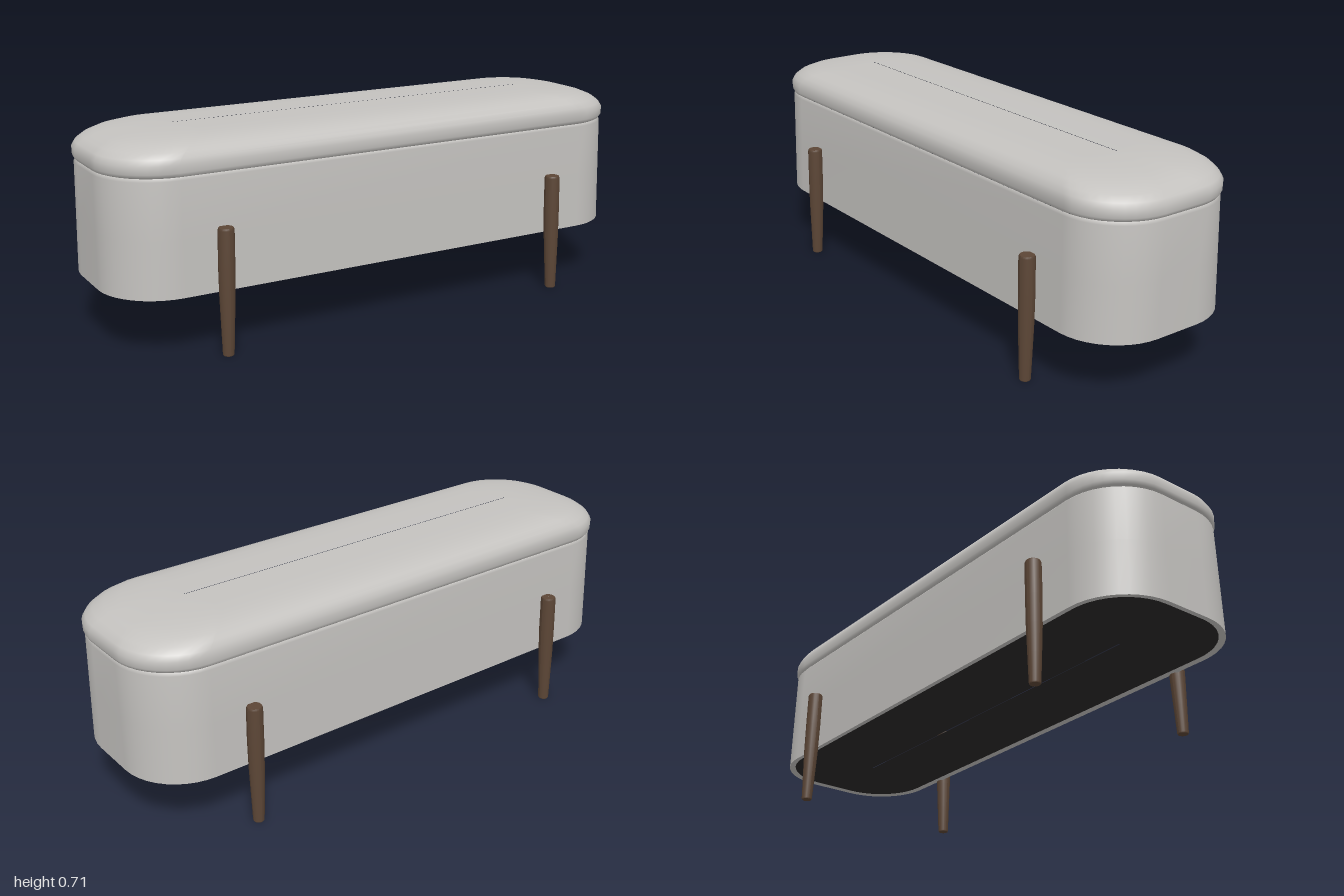
import * as THREE from 'three';

const fabric = new THREE.MeshStandardMaterial({ name: 'grey fabric', color: 0xc4c2bf });
const wood = new THREE.MeshStandardMaterial({ name: 'dark wood', color: 0x5c4636 });
const lining = new THREE.MeshStandardMaterial({ name: 'black lining', color: 0x2a2829 });

// Rounded rectangle outline, running from +x towards +z
function outline({ y, hx, hz, r, x = 0, z = 0 }, steps) {
  const points = [];
  const corners = [[1, 1], [-1, 1], [-1, -1], [1, -1]];
  corners.forEach(([sx, sz], k) => {
    for (let i = 0; i <= steps; i++) {
      const a = (k + i / steps) * Math.PI / 2;
      points.push([x + sx * (hx - r) + r * Math.cos(a), y, z + sz * (hz - r) + r * Math.sin(a)]);
    }
  });
  return points;
}

// Skin through a stack of outlines
function loft(name, sections, material, steps = 10) {
  const rings = sections.map((s) => outline(s, steps));
  const n = rings[0].length;
  const index = [];
  for (let j = 0; j < rings.length - 1; j++) {
    for (let i = 0; i < n; i++) {
      const a = j * n + i, b = j * n + (i + 1) % n;
      index.push(a, a + n, b, b, a + n, b + n);
    }
  }
  const geometry = new THREE.BufferGeometry();
  geometry.setAttribute('position', new THREE.Float32BufferAttribute(rings.flat(2), 3));
  geometry.setIndex(index);
  geometry.computeVertexNormals();
  const mesh = new THREE.Mesh(geometry, material);
  mesh.name = name;
  return mesh;
}

const section = (y, hx, hz, r) => ({ y, hx, hz, r });

function createLeg(sx, sz) {
  const leg = new THREE.Group();
  leg.name = `${sz > 0 ? 'front' : 'back'}${sx > 0 ? 'Left' : 'Right'}Leg`;
  // Height, radius and centre depth of the tapered post
  const profile = [[0, 0.017, 0.316], [0.004, 0.019, 0.316], [0.1, 0.0225, 0.314],
    [0.2, 0.026, 0.312], [0.3, 0.0275, 0.310], [0.418, 0.027, 0.309], [0.425, 0.024, 0.309]];
  const ring = ([y, r, z]) => ({
    y, hx: r, hz: r, r, x: sx * (0.655 - 0.015 * y), z: sz * z,
  });
  const point = (p) => ring([p[0], 0.0005, p[2]]);
  const first = profile[0], last = profile[profile.length - 1];
  leg.add(loft('legPost', profile.map(ring), wood, 5));
  leg.add(loft('legFoot', [point(first), ring(first)], wood, 5));
  leg.add(loft('legTop', [ring(last), point(last)], wood, 5));
  return leg;
}

export function createModel() {
  const bench = new THREE.Group();
  bench.name = 'bench';

  // Upholstered base, slightly wider at the floor side
  bench.add(loft('base', [
    section(0.21, 0.998, 0.293, 0.21),
    section(0.4, 0.996, 0.289, 0.21),
    section(0.588, 0.994, 0.285, 0.21),
    section(0.597, 0.985, 0.278, 0.21),
  ], fabric));

  // Underside: fabric rim around a dark lining
  bench.add(loft('bottomRim', [
    section(0.213, 0.978, 0.273, 0.195),
    section(0.21, 0.998, 0.293, 0.21),
  ], fabric));
  bench.add(loft('bottomLining', [
    section(0.213, 0.7, 0.001, 0.001),
    section(0.213, 0.978, 0.273, 0.195),
  ], lining));

  // Padded seat, domed more gently towards the ends
  bench.add(loft('seatCushion', [
    section(0.595, 0.98, 0.274, 0.205),
    section(0.6, 0.992, 0.283, 0.21),
    section(0.612, 0.998, 0.288, 0.21),
    section(0.638, 0.998, 0.289, 0.21),
    section(0.656, 0.988, 0.283, 0.21),
    section(0.673, 0.965, 0.272, 0.205),
    section(0.688, 0.93, 0.252, 0.195),
    section(0.699, 0.88, 0.222, 0.175),
    section(0.706, 0.81, 0.175, 0.145),
    section(0.709, 0.75, 0.11, 0.095),
    section(0.71, 0.7, 0.001, 0.001),
  ], fabric));

  for (const sx of [-1, 1]) for (const sz of [-1, 1]) bench.add(createLeg(sx, sz));
  return bench;
}
